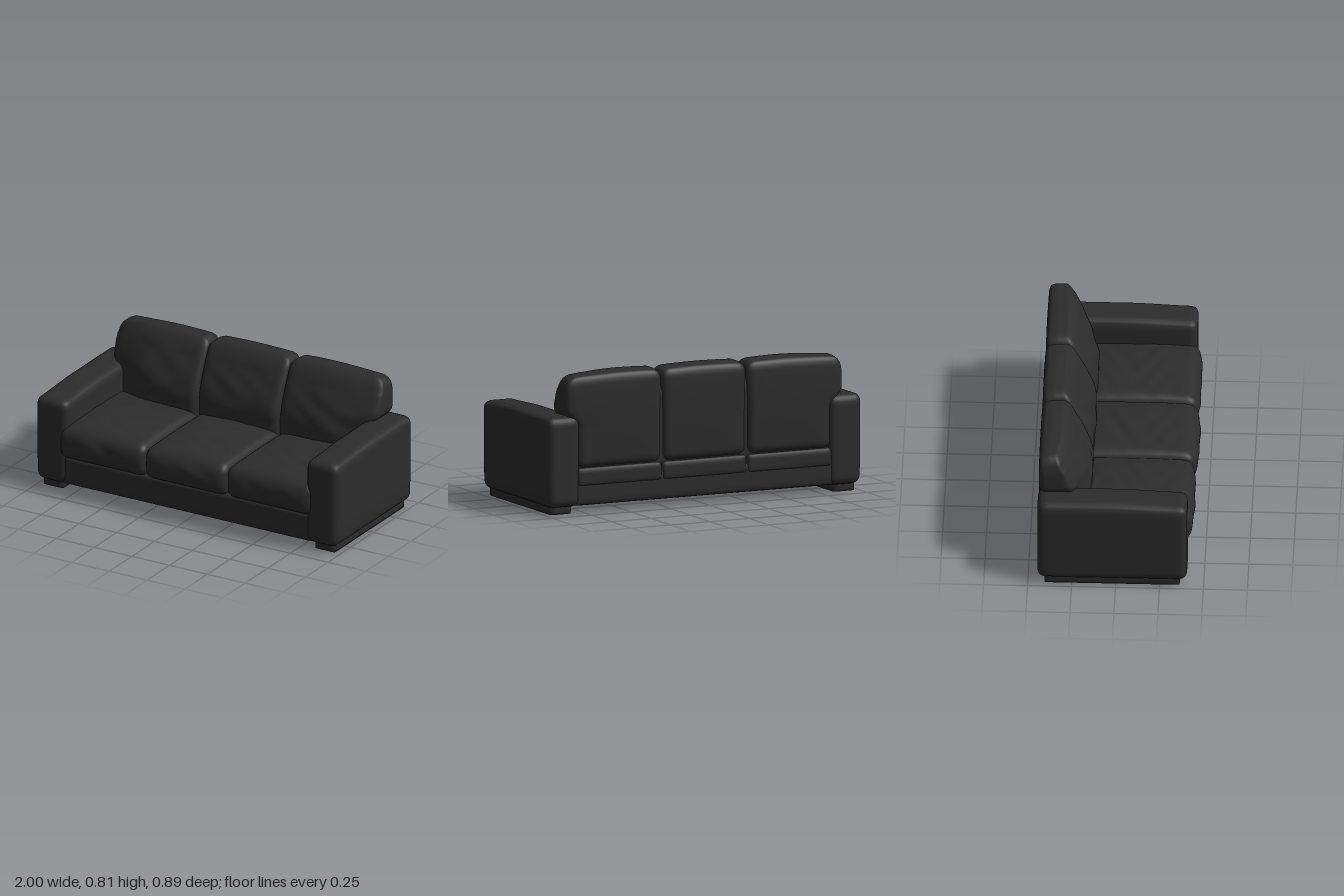
import * as THREE from 'three';
import { mergeVertices } from 'three/addons/utils/BufferGeometryUtils.js';

const { clamp, smoothstep } = THREE.MathUtils;
const leather = new THREE.MeshStandardMaterial({ color: 0x2c2c2c });
leather.name = 'charcoal leather';

// Rounded, finely divided box between two corners, then shaped by a rule on each point.
// The rule gets the point and its position (-1..1) within the box.
function softBox(name, min, max, radius, step, rule) {
  const lo = new THREE.Vector3(...min), hi = new THREE.Vector3(...max);
  const size = hi.clone().sub(lo), mid = lo.clone().add(hi).multiplyScalar(0.5);
  const seg = (v) => clamp(Math.round(v / step), 4, 44);
  let geo = new THREE.BoxGeometry(size.x, size.y, size.z, seg(size.x), seg(size.y), seg(size.z));
  geo.translate(mid.x, mid.y, mid.z);
  geo.deleteAttribute('normal');
  geo.deleteAttribute('uv');
  geo = mergeVertices(geo, 1e-5);
  const innerLo = lo.clone().addScalar(radius), innerHi = hi.clone().subScalar(radius);
  const pos = geo.attributes.position;
  const p = new THREE.Vector3(), core = new THREE.Vector3(), u = new THREE.Vector3();
  for (let i = 0; i < pos.count; i++) {
    p.fromBufferAttribute(pos, i);
    core.copy(p).clamp(innerLo, innerHi);
    p.sub(core).setLength(radius).add(core);
    u.copy(p).sub(mid).divide(size).multiplyScalar(2);
    if (rule) rule(p, u);
    pos.setXYZ(i, p.x, p.y, p.z);
  }
  geo.computeVertexNormals();
  const mesh = new THREE.Mesh(geo, leather);
  mesh.name = name;
  return mesh;
}

const dome = (a, b) => (1 - a * a) * (1 - b * b);
// Gentle creases in the leather
const crease = (a, b, k) => 0.0025 * Math.sin(a * 31 + 5 * Math.sin(b * 13 + k)) + 0.002 * Math.sin(b * 37 + a * 17 + k);

function seatCushion(name, side) {
  const x0 = side === 0 ? -0.268 : side > 0 ? 0.27 : -0.835;
  const x1 = side === 0 ? 0.268 : side > 0 ? 0.835 : -0.27;
  return softBox(name, [x0, 0.205, -0.26], [x1, 0.39, 0.41], 0.045, 0.016, (p, u) => {
    if (u.y > 0.3) p.y += 0.032 * Math.pow(dome(u.x, u.z), 0.5) + crease(p.x, p.z, side) * dome(u.x, u.z);
    // Front bulge, fuller in the middle seat
    const front = smoothstep(u.z, 0.6, 1);
    p.z += front * (side ? 0.027 : 0.036) * (1 - u.y * u.y) * (1 - 0.6 * u.x ** 4);
    p.z += front * crease(p.x, p.y, side + 2) * dome(u.x, u.y);
  });
}

function backCushion(name, side) {
  const x0 = side === 0 ? -0.268 : side > 0 ? 0.27 : -0.81;
  const x1 = side === 0 ? 0.268 : side > 0 ? 0.81 : -0.27;
  const back = -0.44;
  return softBox(name, [x0, 0.258, back], [x1, 0.8, -0.155], 0.05, 0.015, (p, u) => {
    const outer = side ? smoothstep(u.x * side, -0.2, 1) : 0;
    const t = clamp((p.y - 0.48) / 0.32, 0, 1);
    // Front face leans back toward the top, and wraps back at the outer corner
    let depth = (p.z - back) * (1 - 0.5 * Math.pow(t, 1.4));
    depth *= 1 - 0.22 * outer * outer;
    p.z = back + depth;
    // Soft crowns
    if (u.z > 0.2) p.z += 0.012 * dome(u.x, u.y) + crease(p.x, p.y, side + 4) * dome(u.x, u.y);
    if (u.z < -0.5) p.z -= 0.006 * dome(u.x, u.y);
    if (u.y > 0.7) p.y += 0.008 * (1 - u.x * u.x) - 0.012 * smoothstep(-u.z, 0, 1) - 0.008 * outer;
    // Outer side swells over the arm
    p.x += side * 0.07 * outer * smoothstep(p.y, 0.5, 0.6) * (1 - 0.25 * smoothstep(p.y, 0.68, 0.8));
  });
}

export function createModel() {
  const sofa = new THREE.Group();
  sofa.name = 'sofa';

  // Frame
  sofa.add(softBox('base', [-0.84, 0.045, -0.435], [0.84, 0.215, 0.395], 0.018, 0.025));
  sofa.add(softBox('seatDeck', [-0.82, 0.19, -0.42], [0.82, 0.33, 0.36], 0.02, 0.04));
  sofa.add(softBox('backFrame', [-0.8, 0.2, -0.42], [0.8, 0.7, -0.3], 0.03, 0.04));

  for (const side of [-1, 1]) {
    const label = side > 0 ? 'left' : 'right';
    const [a, b] = side > 0 ? [0.79, 1] : [-1, -0.79];
    // Arm with a top that dips slightly at the front
    sofa.add(softBox(label + 'Arm', [a, 0.043, -0.446], [b, 0.564, 0.406], 0.045, 0.02, (p, u) => {
      p.y -= 0.014 * smoothstep(p.z, 0, 0.4) * smoothstep(u.y, 0, 1);
      if (u.y < 0) p.x -= Math.sign(u.x) * 0.006 * u.y * u.y * (u.x * side > 0 ? 1 : 0);
    }));
    // Low plinth foot running under the arm
    const [c, d] = side > 0 ? [0.835, 0.965] : [-0.965, -0.835];
    sofa.add(softBox(label + 'Foot', [c, 0, -0.405], [d, 0.07, 0.365], 0.004, 0.03));
  }

  // Cushions and the padded band low on the back
  [['right', -1], ['middle', 0], ['left', 1]].forEach(([label, side]) => {
    sofa.add(seatCushion(label + 'SeatCushion', side));
    sofa.add(backCushion(label + 'BackCushion', side));
    const x = side * 0.54;
    sofa.add(softBox(label + 'BackBand', [x - 0.268, 0.158, -0.443], [x + 0.268, 0.262, -0.36], 0.02, 0.015));
  });
  return sofa;
}
